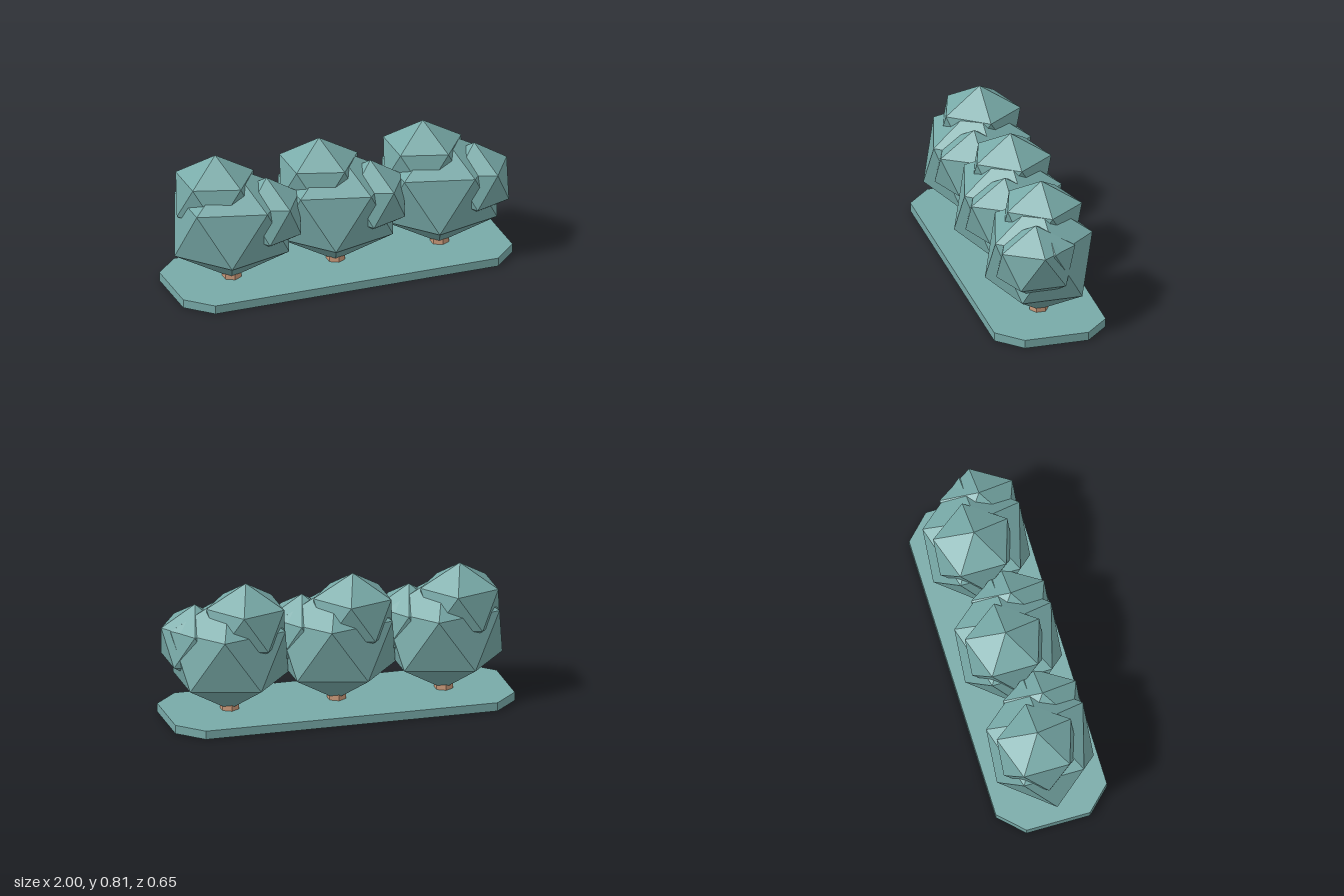
import * as THREE from 'three';
import { ConvexGeometry } from 'three/addons/geometries/ConvexGeometry.js';

const foliageMat = new THREE.MeshStandardMaterial({ color: 0x78aaa8, flatShading: true });
foliageMat.name = 'dusty teal';
const trunkMat = new THREE.MeshStandardMaterial({ color: 0xcd9c7c, flatShading: true });
trunkMat.name = 'light brown';

// Icosahedron standing on a vertex, upper ring starting at +x
function icosahedron() {
  const points = [new THREE.Vector3(0, 1, 0), new THREE.Vector3(0, -1, 0)];
  const y = 1 / Math.sqrt(5), r = 2 / Math.sqrt(5);
  for (let i = 0; i < 5; i++) {
    const a = (i * Math.PI * 2) / 5, c = r * Math.cos(a), s = r * Math.sin(a);
    points.push(new THREE.Vector3(c, y, s), new THREE.Vector3(-c, -y, -s));
  }
  return new ConvexGeometry(points);
}

function addMesh(parent, name, geometry, material, position) {
  const mesh = new THREE.Mesh(geometry, material);
  mesh.name = name;
  mesh.position.set(...position);
  parent.add(mesh);
  return mesh;
}

// Plate with cut corners
function plateGeometry(w, d, h, cut) {
  const x = w / 2, z = d / 2;
  const outline = [
    [x, z - cut], [x - cut, z], [cut - x, z], [-x, z - cut],
    [-x, cut - z], [cut - x, -z], [x - cut, -z], [x, cut - z],
  ].map(([a, b]) => new THREE.Vector2(a, b));
  const geometry = new THREE.ExtrudeGeometry(new THREE.Shape(outline), { depth: h, bevelEnabled: false });
  return geometry.rotateX(-Math.PI / 2);
}

// Leaf clumps: name, centre, radii
const clumps = [
  ['mainFoliage', [0, 0.39, 0], [0.386, 0.347, 0.335]],
  ['topFoliage', [-0.085, 0.566, -0.04], [0.259, 0.239, 0.257]],
  ['sideFoliage', [0.183, 0.445, 0.07], [0.22, 0.223, 0.252]],
];

export function createModel() {
  const model = new THREE.Group();
  model.name = 'hedgeRow';
  addMesh(model, 'basePlate', plateGeometry(1.99, 0.654, 0.05, 0.14), foliageMat, [-0.005, 0, 0]);

  const leaf = icosahedron();
  const trunk = new THREE.CylinderGeometry(0.055, 0.055, 0.16, 6);
  for (let i = -1; i <= 1; i++) {
    const bush = new THREE.Group();
    bush.name = 'bush';
    bush.position.x = -0.0075 + i * 0.6275;
    addMesh(bush, 'trunk', trunk, trunkMat, [0, 0.1, 0]);
    for (const [name, centre, radii] of clumps) {
      addMesh(bush, name, leaf, foliageMat, centre).scale.set(...radii);
    }
    model.add(bush);
  }
  return model;
}
